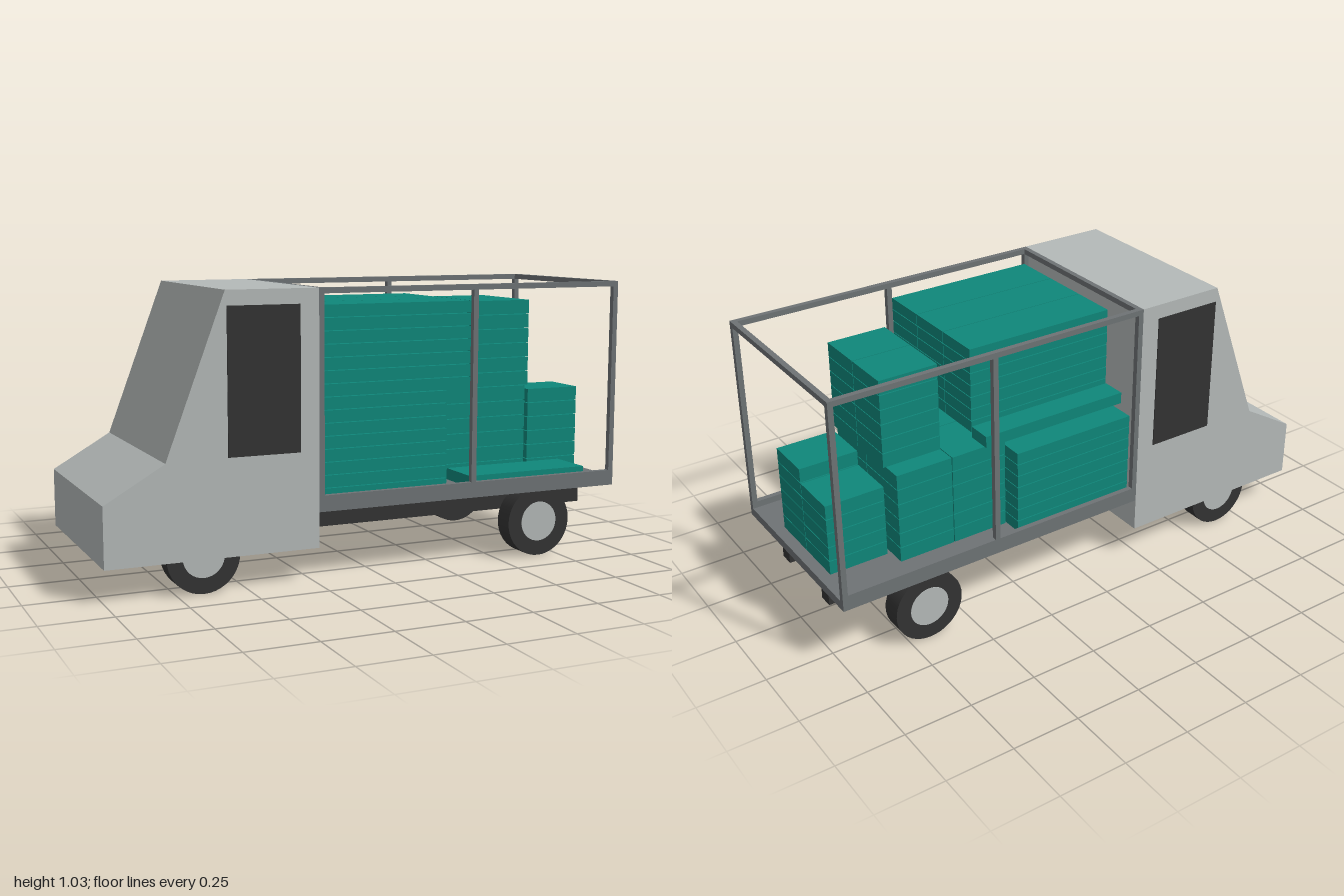
import * as THREE from 'three';

const paint = (name, color) => {
  const m = new THREE.MeshStandardMaterial({ color });
  m.name = name;
  return m;
};

export function createModel() {
  const body = paint('lightGreyPaint', 0xb4b9b8);
  const steel = paint('greySteel', 0x6e7375);
  const dark = paint('darkGrey', 0x333333);
  const teal = paint('tealCrate', 0x0f877a);
  const truck = new THREE.Group();
  truck.name = 'cargoTruck';

  const add = (parent, name, geo, mat) => {
    const mesh = new THREE.Mesh(geo, mat);
    mesh.name = name;
    parent.add(mesh);
    return mesh;
  };
  const group = (name) => {
    const g = new THREE.Group();
    g.name = name;
    truck.add(g);
    return g;
  };
  // Box given by its limits on each axis
  const block = (parent, name, mat, x0, x1, y0, y1, z0, z1) => {
    const geo = new THREE.BoxGeometry(x1 - x0, y1 - y0, z1 - z0);
    geo.translate((x0 + x1) / 2, (y0 + y1) / 2, (z0 + z1) / 2);
    return add(parent, name, geo, mat);
  };

  // Cab: side profile extruded across the width
  const cab = group('cab');
  const profile = [[-1, 0.12], [-0.23, 0.12], [-0.23, 1.03], [-0.57, 1.03], [-0.785, 0.46], [-1, 0.335]];
  const shell = new THREE.ExtrudeGeometry(
    new THREE.Shape(profile.map(([x, y]) => new THREE.Vector2(x, y))),
    { depth: 0.73, bevelEnabled: false });
  shell.translate(0, 0, -0.365);
  add(cab, 'cabShell', shell, body);
  for (const s of [-1, 1]) {
    const z = s * 0.365;
    block(cab, 'sideWindow', dark, -0.565, -0.3, 0.465, 0.977, z - 0.003, z + 0.003);
  }

  // Deck, chassis beams and open cargo frame
  const bed = group('cargoBed');
  block(bed, 'deck', steel, -0.23, 1, 0.247, 0.28, -0.365, 0.365);
  for (const s of [-1, 1]) {
    const z = s * 0.155;
    block(bed, 'chassisBeam', dark, -0.23, 0.967, 0.15, 0.247, z - 0.027, z + 0.027);
    const side = s * 0.355, a = side - 0.01, b = side + 0.01;
    block(bed, 'bottomRail', steel, -0.23, 1, 0.28, 0.305, a, b);
    block(bed, 'topRail', steel, -0.23, 1, 1.01, 1.03, a, b);
    for (const x of [-0.22, 0.387, 0.99]) {
      block(bed, 'framePost', steel, x - 0.01, x + 0.01, 0.305, 1.01, a, b);
    }
  }
  for (const x of [-0.22, 0.99]) {
    block(bed, 'crossRail', steel, x - 0.01, x + 0.01, 1.01, 1.03, -0.345, 0.345);
  }

  // Wheels with hubs
  for (const x of [-0.655, 0.672]) {
    for (const s of [-1, 1]) {
      const wheel = group('wheel');
      wheel.position.set(x, 0.132, s * 0.322);
      const tyre = new THREE.CylinderGeometry(0.131, 0.131, 0.078, 40);
      add(wheel, 'tyre', tyre.rotateX(Math.PI / 2), dark);
      const hub = new THREE.CylinderGeometry(0.075, 0.075, 0.04, 32);
      add(wheel, 'hub', hub.rotateX(Math.PI / 2), body).position.z = s * 0.0205;
    }
  }

  // Crate stacks: x limits, z limits, base height, crate count, crate pitch
  const cargo = group('crates');
  const gap = 0.0015;
  const stack = (x0, x1, z0, z1, base, count, pitch) => {
    for (let i = 0; i < count; i++) {
      const y = base + i * pitch;
      block(cargo, 'crate', teal, x0 + gap, x1 - gap, y + gap, y + pitch - gap, z0 + gap, z1 - gap);
    }
  };
  const floor = 0.28, flat = 0.0461, tall = 0.0577, small = 0.055;
  // Long flat crates behind the cab; the upper ones overhang
  for (const [z0, z1] of [[0.166, 0.345], [-0.013, 0.166], [-0.19, -0.013]]) {
    stack(-0.21, 0.285, z0, z1, floor, 8, flat);
    stack(-0.21, 0.38, z0, z1, floor + 8 * flat, 7, flat);
  }
  stack(-0.21, 0.285, -0.337, -0.19, floor, 7, flat);
  stack(-0.21, 0.38, -0.285, -0.19, floor + 7.6 * flat, 1, flat);
  stack(0.38, 0.88, 0.166, 0.345, floor, 1, flat);
  // Middle stacks and the two towers on them
  for (const [x0, x1] of [[0.287, 0.505], [0.505, 0.723]]) {
    stack(x0, x1, -0.048, 0.166, floor, 6, tall);
    stack(x0, x1, -0.264, -0.048, floor, 6, tall);
  }
  // Rear low stacks
  const columns = [[-0.013, 0.166, 6], [-0.195, -0.013, 5]];
  for (const [z0, z1, count] of columns) {
    stack(0.508, 0.735, z0, z1, floor + 6 * tall, 6, small);
    stack(0.735, 0.96, z0, z1, floor, count, small);
  }
  return truck;
}
